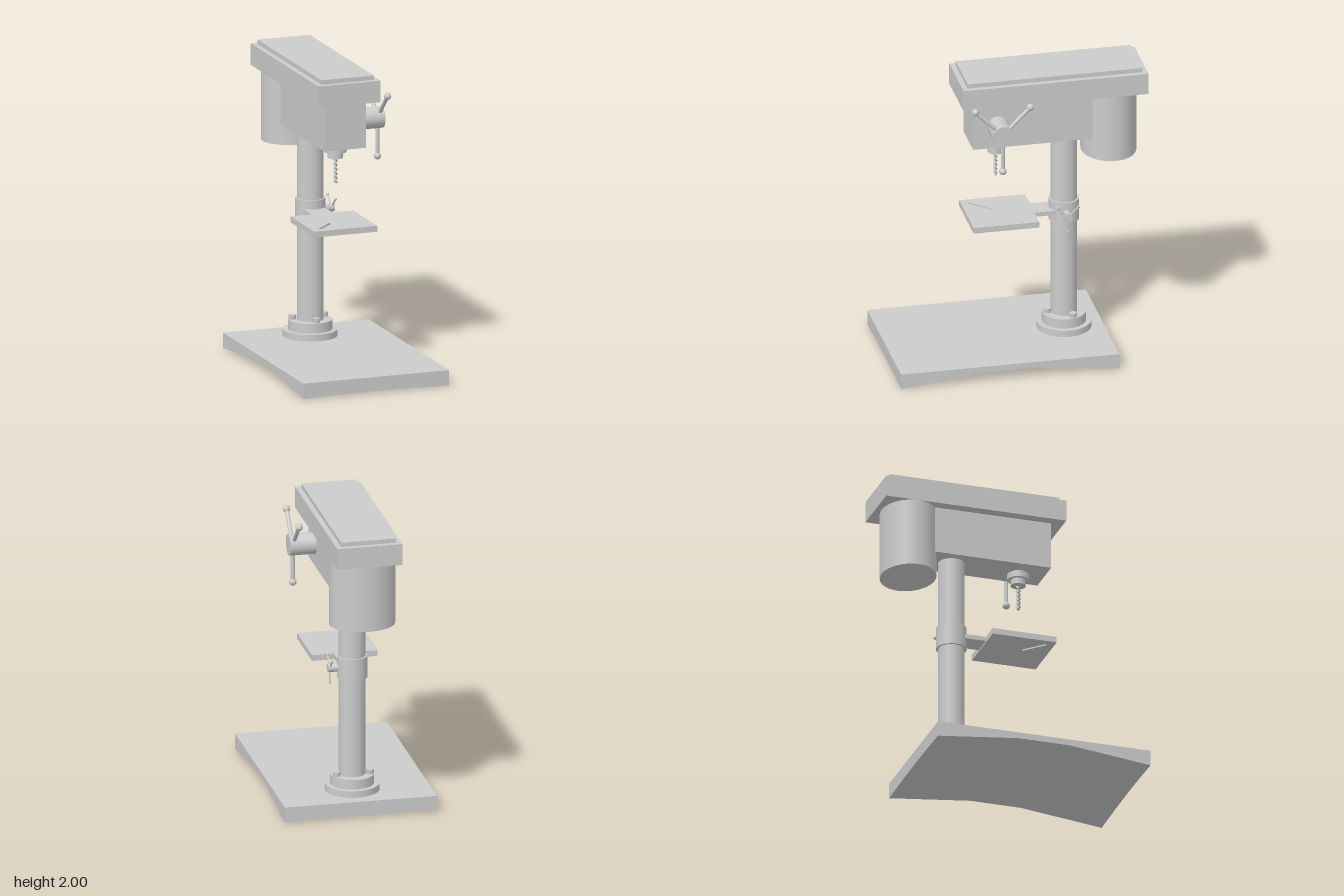
import * as THREE from 'three';

const material = new THREE.MeshStandardMaterial({ color: 0xcccccc });

export function createModel() {
  const model = new THREE.Group();

  const add = (name, geometry, x = 0, y = 0, z = 0, parent = model) => {
    const mesh = new THREE.Mesh(geometry, material);
    mesh.name = name;
    mesh.position.set(x, y, z);
    parent.add(mesh);
    return mesh;
  };
  // Box given by its extents on y and z, centred on x
  const box = (name, width, y0, y1, z0, z1) =>
    add(name, new THREE.BoxGeometry(width, y1 - y0, z1 - z0), 0, (y0 + y1) / 2, (z0 + z1) / 2);
  // Upright cylinder given by its extents on y
  const post = (name, r, y0, y1, z, x = 0, sides = 40) =>
    add(name, new THREE.CylinderGeometry(r, r, y1 - y0, sides), x, (y0 + y1) / 2, z);

  // Base plate with an arched underside
  const baseGeo = new THREE.BoxGeometry(1.02, 0.105, 1.464, 12, 1, 50);
  const p = baseGeo.attributes.position;
  for (let i = 0; i < p.count; i++) {
    if (p.getY(i) > 0) continue;
    const u = Math.abs(p.getZ(i)) / 0.732, v = p.getX(i) / 0.51;
    p.setY(i, -0.0525 + Math.min(0.063, 0.083 * (1 - u)) + 0.01 * (1 - v * v));
  }
  baseGeo.computeVertexNormals();
  add('base', baseGeo, 0, 0.0525, 0.132);

  // Column, foot flange and its bolts
  const colZ = -0.34;
  post('column', 0.0875, 0.1, 1.51, colZ);
  post('flangeLower', 0.18, 0.1, 0.15, colZ);
  post('flangeUpper', 0.145, 0.15, 0.215, colZ);
  for (const [x, z] of [[0, 0.112], [0.112, -0.036], [-0.112, -0.036]]) {
    const bolt = post('flangeBolt', 0.026, 0.21, 0.245, colZ + z, x, 6);
    bolt.material = material;
  }

  // Work table with one diagonal slot, its arm and the column collar
  post('tableCollar', 0.1, 0.885, 1.035, colZ);
  box('tableArm', 0.15, 0.945, 0.975, -0.27, -0.12);
  const table = new THREE.Shape([
    new THREE.Vector2(-0.22, -0.313), new THREE.Vector2(0.22, -0.313),
    new THREE.Vector2(0.22, 0.127), new THREE.Vector2(-0.22, 0.127),
  ]);
  const slot = new THREE.Path();
  const a = -Math.PI / 4, w = 0.009;
  slot.absarc(-0.165, -0.258, w, a + Math.PI, a + 2 * Math.PI, true);
  slot.absarc(-0.035, -0.135, w, a, a + Math.PI, false);
  slot.curves.length = 0;
  const d = w * Math.SQRT1_2;
  slot.setFromPoints([
    new THREE.Vector2(-0.165 - d, -0.258 + d), new THREE.Vector2(-0.035 - d, -0.135 + d),
    new THREE.Vector2(-0.035 + d, -0.135 - d), new THREE.Vector2(-0.165 + d, -0.258 - d),
  ]);
  table.holes.push(slot);
  const tableGeo = new THREE.ExtrudeGeometry(table, { depth: 0.04, bevelEnabled: false });
  tableGeo.rotateX(-Math.PI / 2);
  add('table', tableGeo, 0, 0.935, 0);

  // Head, belt cover, lid and oval motor
  box('head', 0.29, 1.505, 1.825, -0.5, 0.3);
  box('beltCover', 0.436, 1.825, 1.97, -0.86, 0.38);
  box('lid', 0.366, 1.97, 2, -0.825, 0.345);
  post('motor', 1, 1.363, 1.825, -0.638, 0, 48).scale.set(0.218, 1, 0.182);

  // Chuck in three steps
  const drillZ = 0.12;
  post('spindle', 0.05, 1.485, 1.51, drillZ);
  post('chuck', 0.072, 1.45, 1.49, drillZ);
  post('chuckJaw', 0.05, 1.41, 1.45, drillZ);

  // Drill bit: a flattened bar twisted along its length
  const bit = new THREE.CylinderGeometry(1, 1, 0.175, 16, 60);
  const q = bit.attributes.position;
  for (let i = 0; i < q.count; i++) {
    const t = q.getY(i) / 0.175 * Math.PI * 6;
    const x = q.getX(i) * 0.016, z = q.getZ(i) * 0.007;
    q.setX(i, x * Math.cos(t) - z * Math.sin(t));
    q.setZ(i, x * Math.sin(t) + z * Math.cos(t));
  }
  bit.computeVertexNormals();
  add('drillBit', bit, 0, 1.3275, drillZ);

  // Three-spoked handle on a hub lying along x
  const handle = (name, x0, x1, spokeX, y, z, hubR, spokeR, ballR, reach) => {
    const group = new THREE.Group();
    group.name = name;
    group.position.set(0, y, z);
    model.add(group);
    const hub = new THREE.CylinderGeometry(hubR, hubR, x1 - x0, 32).rotateZ(Math.PI / 2);
    add('hub', hub, (x0 + x1) / 2, 0, 0, group);
    for (const angle of [Math.PI, Math.PI / 4, -Math.PI / 4]) {
      const arm = new THREE.Group();
      arm.name = 'spoke';
      arm.rotation.x = angle;
      group.add(arm);
      add('rod', new THREE.CylinderGeometry(spokeR, spokeR, reach, 16), spokeX, reach / 2, 0, arm);
      add('knob', new THREE.SphereGeometry(ballR, 20, 14), spokeX, reach, 0, arm);
    }
  };
  handle('feedHandle', 0.14, 0.32, 0.29, 1.66, 0.133, 0.072, 0.0135, 0.025, 0.26);
  handle('tableClamp', 0.08, 0.163, 0.148, 0.955, -0.336, 0.028, 0.0055, 0.0095, 0.1);

  return model;
}
